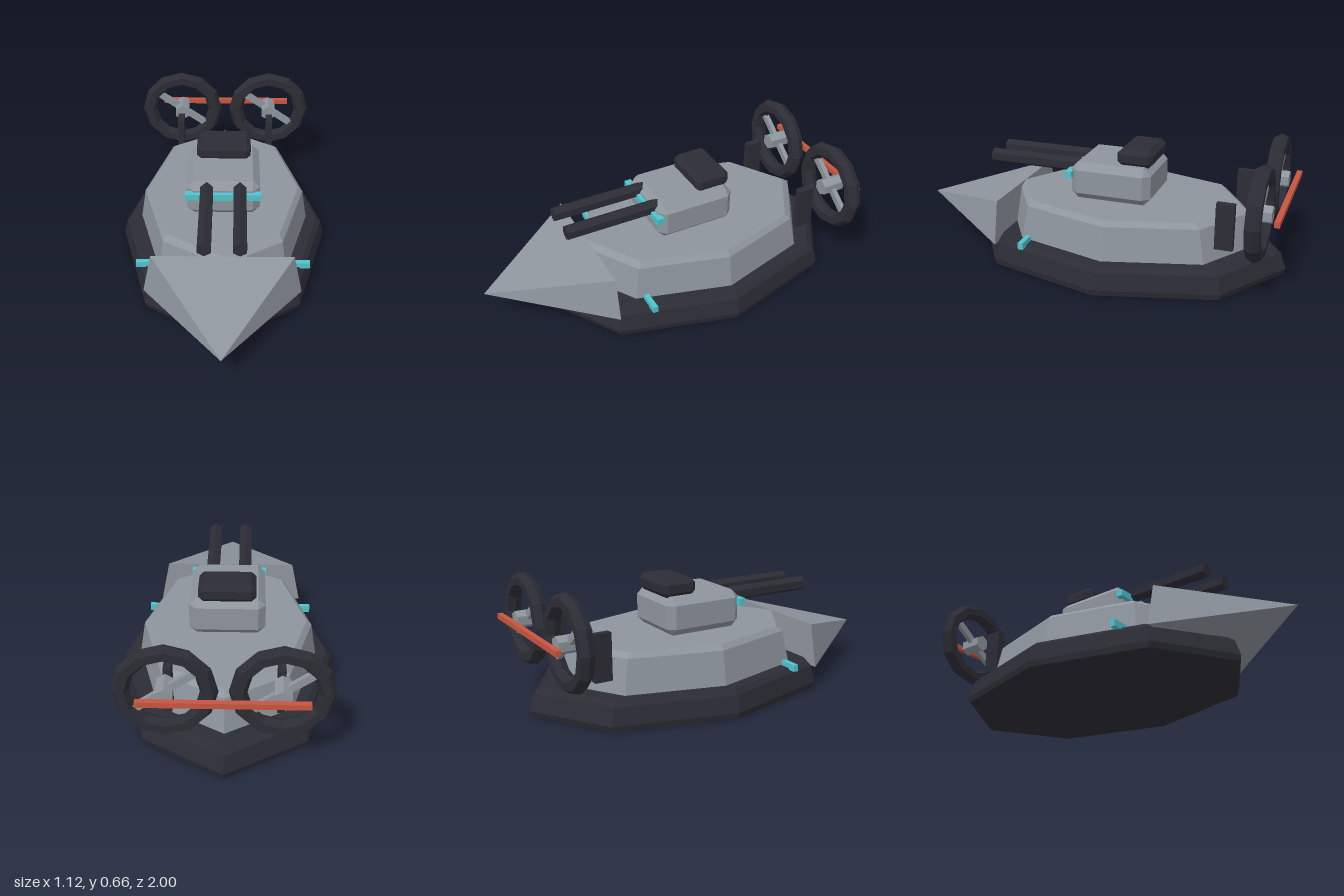
import * as THREE from 'three';
import { ConvexGeometry } from 'three/addons/geometries/ConvexGeometry.js';

const paint = (name, color) => {
  const m = new THREE.MeshStandardMaterial({ color, flatShading: true });
  m.name = name;
  return m;
};

export function createModel() {
  const grey = paint('hullGrey', 0x8e959d);
  const dark = paint('darkRubber', 0x2c2c35);
  const cyan = paint('cyanGlow', 0x50c4ce);
  const red = paint('rudderRed', 0xc8553f);

  const model = new THREE.Group();
  model.name = 'hovercraft';

  const add = (name, geometry, material, x = 0, y = 0, z = 0, parent = model) => {
    const mesh = new THREE.Mesh(geometry, material);
    mesh.name = name;
    mesh.position.set(x, y, z);
    parent.add(mesh);
    return mesh;
  };

  // Eight-sided body of stacked rings, stretched along z
  const octagon = (profile, stretch) =>
    new THREE.LatheGeometry(profile.map(([r, y]) => new THREE.Vector2(r, y)), 8).scale(1, 1, stretch);

  // Box with every edge and corner cut off
  const chamferBox = (w, h, d, c) => {
    const half = [w / 2, h / 2, d / 2];
    const points = [];
    for (const sx of [-1, 1]) for (const sy of [-1, 1]) for (const sz of [-1, 1])
      for (let face = 0; face < 3; face++) {
        const p = half.map((v, i) => (i === face ? v : v - c));
        points.push(new THREE.Vector3(sx * p[0], sy * p[1], sz * p[2]));
      }
    return new ConvexGeometry(points);
  };

  const rod = (radius, length) =>
    new THREE.CylinderGeometry(radius, radius, length, 6).rotateX(Math.PI / 2);

  // Skirt and hull
  add('skirt', octagon([[0, 0], [0.553, 0], [0.56, 0.03], [0.54, 0.115], [0.515, 0.14], [0, 0.14]], 1.505),
    dark, 0, 0, -0.155);
  add('hull', octagon([[0, 0.12], [0.462, 0.12], [0.457, 0.145], [0.43, 0.31], [0.405, 0.335], [0, 0.335]], 1.48),
    grey, 0, 0, -0.165);

  // Pointed bow
  add('bow', new ConvexGeometry([
    [-0.355, 0.335, 0.435], [0.355, 0.335, 0.435],
    [-0.4, 0.112, 0.435], [0.4, 0.112, 0.435], [0, 0.197, 1],
  ].map((p) => new THREE.Vector3(...p))), grey);

  // Turret
  add('turret', chamferBox(0.38, 0.195, 0.425, 0.037), grey, 0, 0.4325, -0.11);
  add('hatch', chamferBox(0.285, 0.09, 0.187, 0.024), dark, 0, 0.567, -0.228);
  add('visor', new THREE.BoxGeometry(0.39, 0.036, 0.036), cyan, 0, 0.466, 0.106);

  // Paired parts
  for (const side of [-1, 1]) {
    const tag = side > 0 ? 'left' : 'right';
    add(tag + 'GunBarrel', rod(0.038, 0.51), dark, side * 0.085, 0.489, 0.32);
    add(tag + 'SideLight', new THREE.BoxGeometry(0.105, 0.035, 0.026), cyan, side * 0.398, 0.149, 0.267);
    add(tag + 'Strut', new THREE.BoxGeometry(0.037, 0.235, 0.09), dark, side * 0.26, 0.327, -0.727);

    const fan = new THREE.Group();
    fan.name = tag + 'Fan';
    fan.position.set(side * 0.26, 0.418, -0.89);
    model.add(fan);
    add('fanRing', new THREE.TorusGeometry(0.197, 0.041, 6, 12), dark, 0, 0, 0, fan);
    add('fanHub', rod(0.045, 0.12), grey, 0, 0, 0, fan);
    add('fanBlade', new THREE.BoxGeometry(0.36, 0.036, 0.025), grey, 0, 0, 0, fan).rotation.z = -0.62;
  }

  // Tail bar behind the fans
  add('rudderBar', new THREE.BoxGeometry(0.76, 0.027, 0.027), red, 0, 0.418, -0.9865);

  return model;
}
